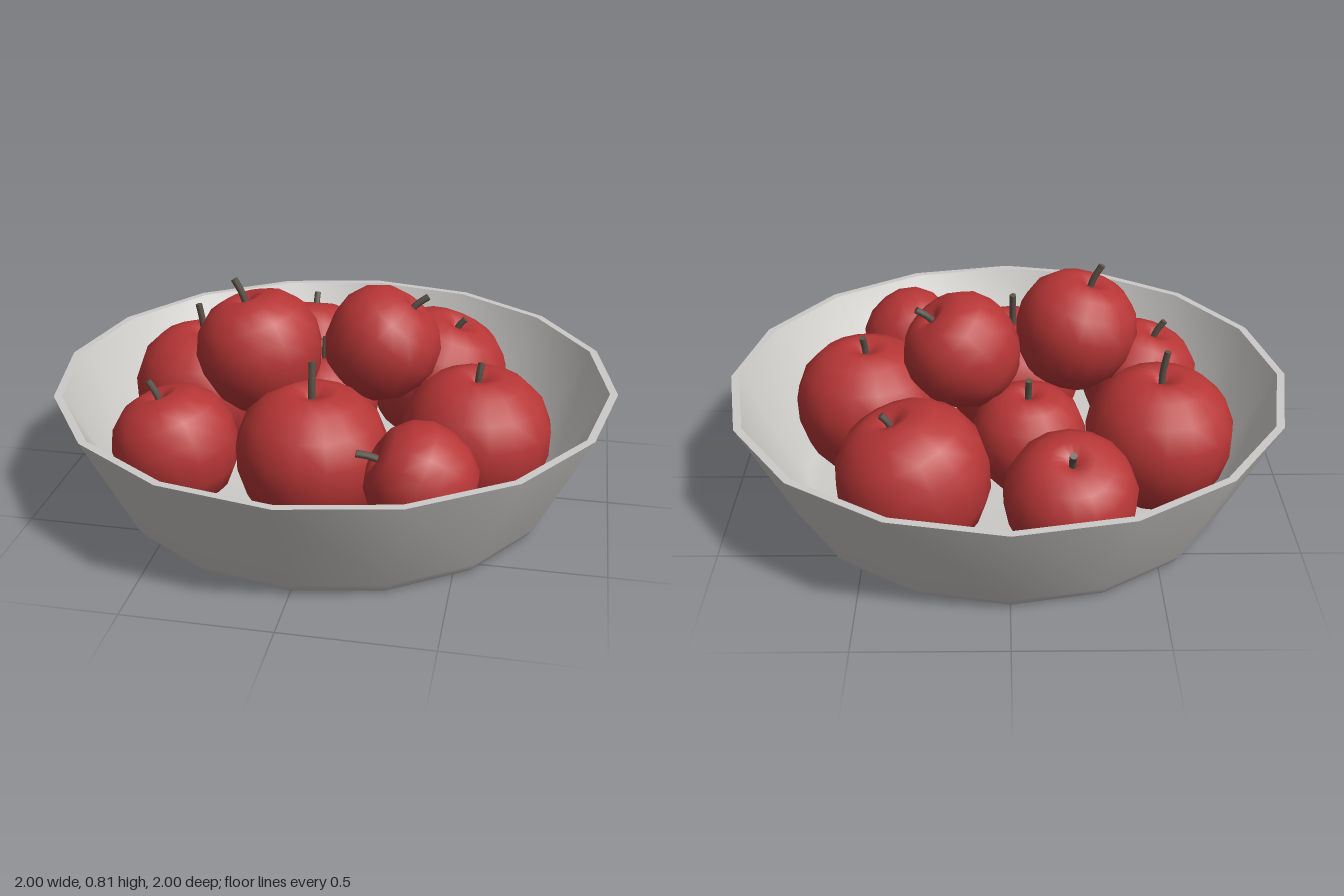
import * as THREE from 'three';
import { toCreasedNormals } from 'three/addons/utils/BufferGeometryUtils.js';

const points = (list) => list.map(([r, y]) => new THREE.Vector2(r, y));

export function createModel() {
  const bowlGrey = new THREE.MeshStandardMaterial({ name: 'bowlGrey', color: 0xcdcbc8 });
  const appleRed = new THREE.MeshStandardMaterial({ name: 'appleRed', color: 0xb83636 });
  const stemBrown = new THREE.MeshStandardMaterial({ name: 'stemBrown', color: 0x5c5248 });

  const model = new THREE.Group();
  model.name = 'appleBowl';

  // Sixteen-sided bowl: underside, outer wall, flat rim, inner wall, floor
  const bowlProfile = points([
    [0, 0], [0.74, 0], [0.785, 0.01], [0.81, 0.045], [1, 0.43],
    [0.972, 0.43], [0.785, 0.06], [0.755, 0.035], [0.69, 0.025], [0, 0.025],
  ]);
  const bowl = new THREE.Mesh(toCreasedNormals(new THREE.LatheGeometry(bowlProfile, 16), 0.9), bowlGrey);
  bowl.name = 'bowl';
  model.add(bowl);

  // Unit apple: slightly tapered base, broad shoulders and a dimple on top
  const appleGeometry = new THREE.LatheGeometry(points([
    [0, -0.8], [0.3, -0.9], [0.62, -0.78], [0.86, -0.48], [0.98, -0.1],
    [0.99, 0.24], [0.86, 0.58], [0.61, 0.82], [0.33, 0.92], [0.13, 0.87], [0, 0.74],
  ]), 16);

  // Slightly bent stem rising from the dimple, leaning over at its tip
  const makeStem = (radius, tip) => {
    const base = 0.72 * radius;
    const mid = (base + tip) / 2;
    const curve = new THREE.CatmullRomCurve3([
      new THREE.Vector3(0, base, 0),
      new THREE.Vector3(0.003, mid, 0),
      new THREE.Vector3(0.016, tip - 0.005, 0),
    ]);
    const stem = new THREE.Group();
    stem.name = 'stem';
    const shaft = new THREE.Mesh(new THREE.TubeGeometry(curve, 5, 0.0125, 7), stemBrown);
    shaft.name = 'stemShaft';
    const end = new THREE.Mesh(new THREE.CircleGeometry(0.0125, 7), stemBrown);
    end.name = 'stemEnd';
    end.position.copy(curve.getPoint(1));
    end.lookAt(curve.getPoint(1).add(curve.getTangent(1)));
    stem.add(shaft, end);
    return stem;
  };

  // x, y, z, radius, stem tip distance, lean in degrees, lean heading (0 = +x, 90 = +z)
  const apples = [
    [-0.535, 0.26, -0.15, 0.265, 0.345, 0, 180],
    [-0.2, 0.26, -0.55, 0.225, 0.255, 20, 270],
    [0.32, 0.265, -0.42, 0.265, 0.268, 20, 0],
    [-0.07, 0.25, -0.14, 0.205, 0.255, 3, 270],
    [0.16, 0.545, -0.03, 0.207, 0.245, 39, -12],
    [-0.245, 0.55, 0.125, 0.222, 0.278, 16, 184],
    [0.52, 0.26, 0.09, 0.265, 0.29, 0, 300],
    [-0.505, 0.25, 0.33, 0.222, 0.262, 18, 185],
    [-0.02, 0.26, 0.33, 0.265, 0.35, 0, 270],
    [0.385, 0.325, 0.545, 0.188, 0.235, 63, 171],
  ];
  apples.forEach(([x, y, z, radius, tip, lean, heading], i) => {
    const apple = new THREE.Group();
    apple.name = `apple${i + 1}`;
    const flesh = new THREE.Mesh(appleGeometry, appleRed);
    flesh.name = 'flesh';
    flesh.scale.setScalar(radius);
    apple.add(flesh, makeStem(radius, tip));
    apple.position.set(x, y, z);
    // Turn towards the heading, then lean the top over that way
    apple.rotation.set(0, -THREE.MathUtils.degToRad(heading), -THREE.MathUtils.degToRad(lean), 'YZX');
    model.add(apple);
  });

  return model;
}
